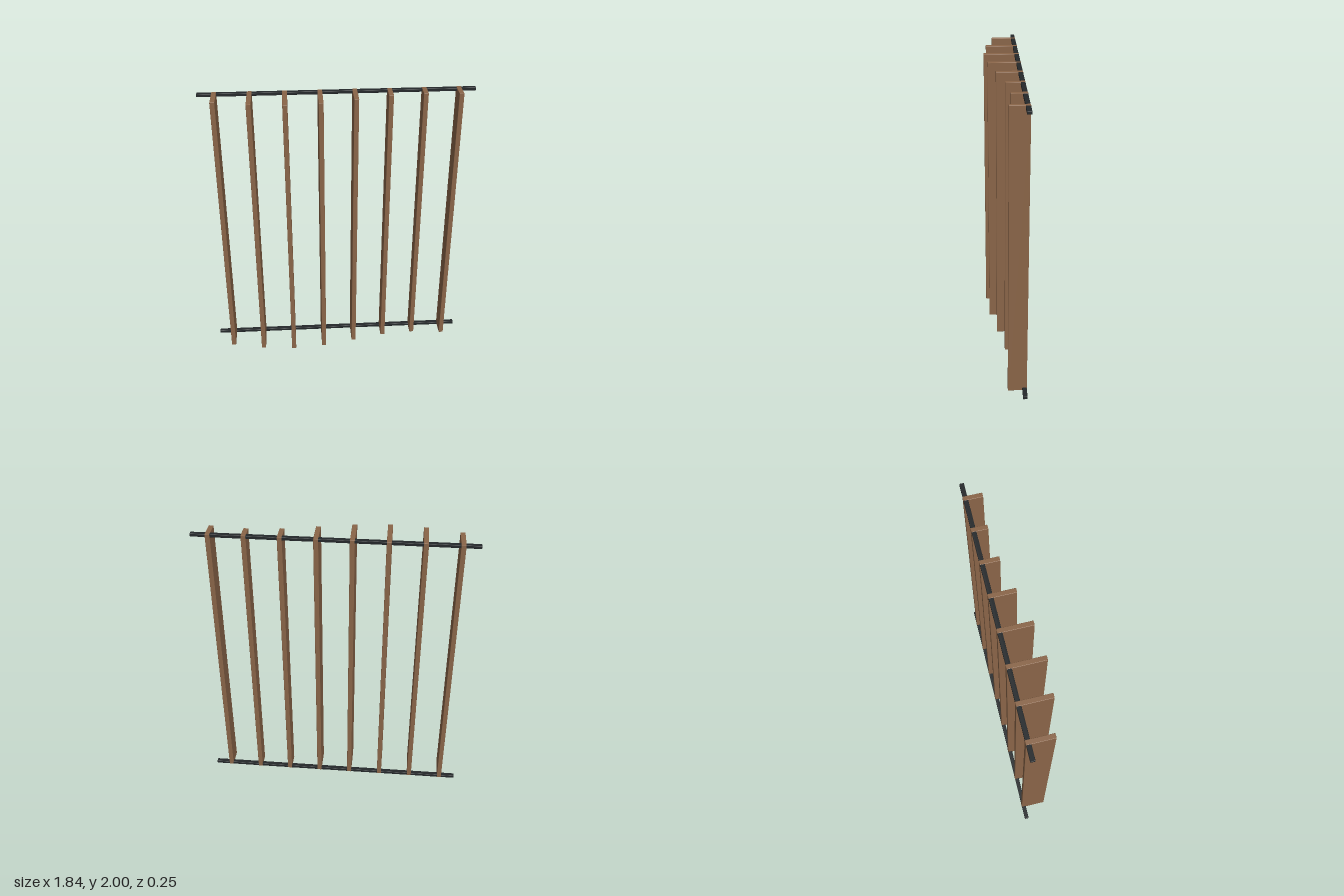
import * as THREE from 'three';
import { RoundedBoxGeometry } from 'three/addons/geometries/RoundedBoxGeometry.js';

export function createModel() {
  const model = new THREE.Group();
  const wood = new THREE.MeshStandardMaterial({ color: 0x8a6548 });
  const metal = new THREE.MeshStandardMaterial({ color: 0x24282a });

  const COUNT = 8, SPACING = 0.2307, HEIGHT = 2, BACK = -0.124;

  // Box with slightly eased edges, placed by its back face
  function addBar(name, material, w, h, d, x, y, back) {
    const mesh = new THREE.Mesh(new RoundedBoxGeometry(w, h, d, 2, 0.003), material);
    mesh.name = name;
    mesh.position.set(x, y, back + d / 2);
    model.add(mesh);
  }

  // Vertical slats whose depth follows one sine wave along the row
  for (let i = 0; i < COUNT; i++) {
    const depth = 0.177 + 0.07 * Math.sin((i * Math.PI) / 4);
    const x = (i - (COUNT - 1) / 2) * SPACING;
    addBar(`slat${i + 1}`, wood, 0.032, HEIGHT, depth, x, HEIGHT / 2, BACK);
  }

  // Rails running through the backs of the slats
  const railHeight = 0.021;
  addBar('bottomRail', metal, 1.84, railHeight, 0.03, 0, railHeight / 2 + 0.001, BACK + 0.001);
  addBar('topRail', metal, 1.84, railHeight, 0.03, 0, HEIGHT - railHeight / 2 - 0.001, BACK + 0.001);

  return model;
}
